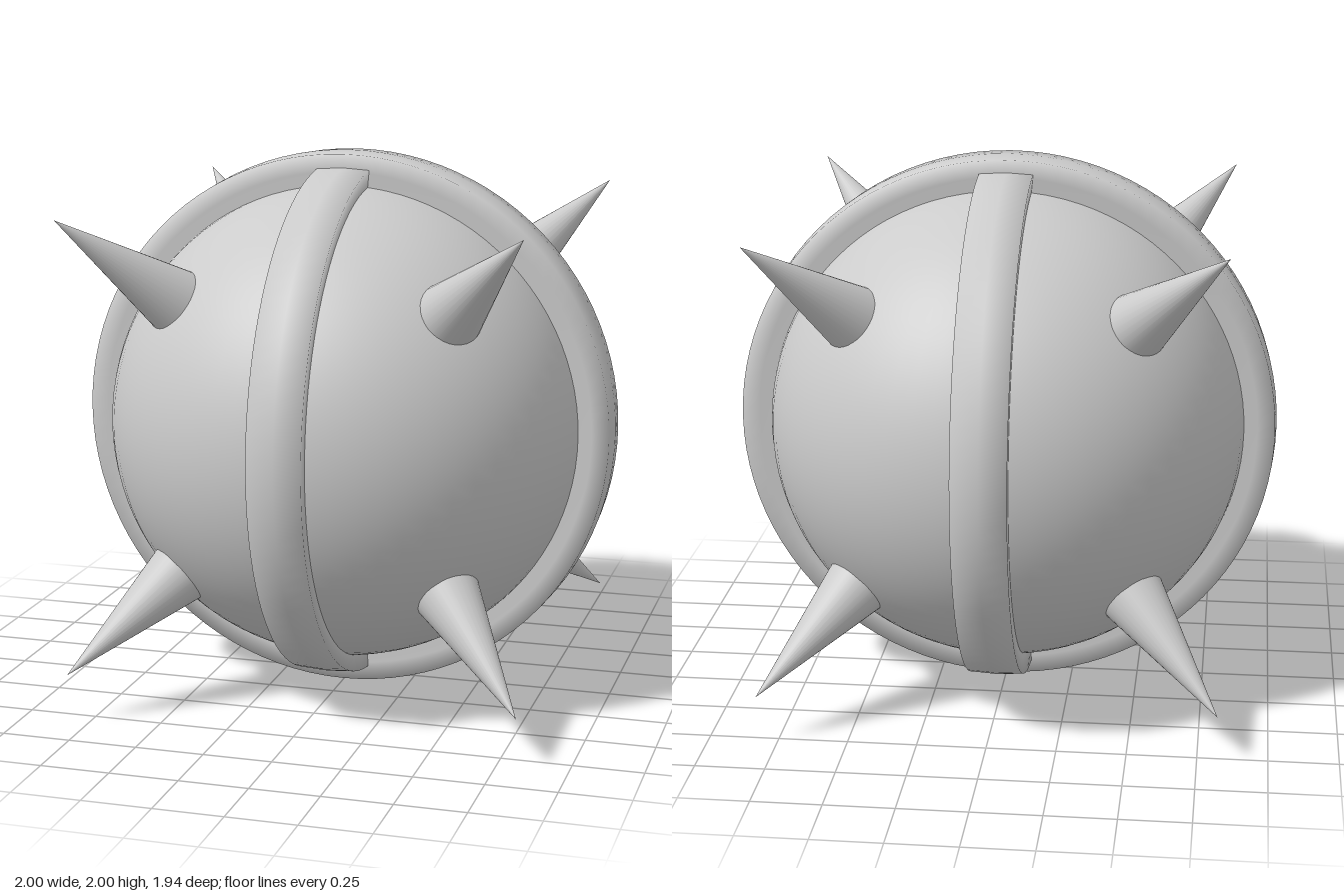
import * as THREE from 'three';

const material = new THREE.MeshStandardMaterial({ color: 0xcccccc });
const CENTER = new THREE.Vector3(0, 1, 0.02);

function addMesh(parent, name, geometry) {
  const mesh = new THREE.Mesh(geometry, material);
  mesh.name = name;
  parent.add(mesh);
  return mesh;
}

// Raised band: a nearly square section, slightly flared and crowned, spun around y
function bandGeometry(radius) {
  const profile = [
    [0.82, -0.09], [radius - 0.07, -0.092], [radius - 0.006, -0.098], [radius, 0],
    [radius - 0.006, 0.098], [radius - 0.07, 0.092], [0.82, 0.09],
  ].map(([r, y]) => new THREE.Vector2(r, y));
  return new THREE.LatheGeometry(profile, 96);
}

export function createModel() {
  const model = new THREE.Group();
  model.name = 'spikedBall';

  // Ball
  addMesh(model, 'ball', new THREE.SphereGeometry(0.885, 64, 48)).position.copy(CENTER);

  // Two crossing bands, the side-to-side one standing higher
  const sideBand = addMesh(model, 'sideBand', bandGeometry(1));
  sideBand.rotation.x = Math.PI / 2;
  sideBand.position.copy(CENTER);

  const frontBand = addMesh(model, 'frontBand', bandGeometry(0.968));
  frontBand.rotation.z = Math.PI / 2;
  frontBand.scale.x = 0.982; // local x is vertical after the turn
  frontBand.position.set(0, 1, 0);

  // Eight spikes, one in the middle of each octant
  const spikes = new THREE.Group();
  spikes.name = 'spikes';
  spikes.position.copy(CENTER);
  model.add(spikes);
  const base = 0.83, tip = 1.42;
  const cone = new THREE.ConeGeometry(0.128, tip - base, 32);
  cone.translate(0, (base + tip) / 2, 0);
  const up = new THREE.Vector3(0, 1, 0);
  for (const x of [-1, 1]) for (const y of [-1, 1]) for (const z of [-1, 1]) {
    const direction = new THREE.Vector3(x, y, z).normalize();
    addMesh(spikes, 'spike', cone).quaternion.setFromUnitVectors(up, direction);
  }
  return model;
}
